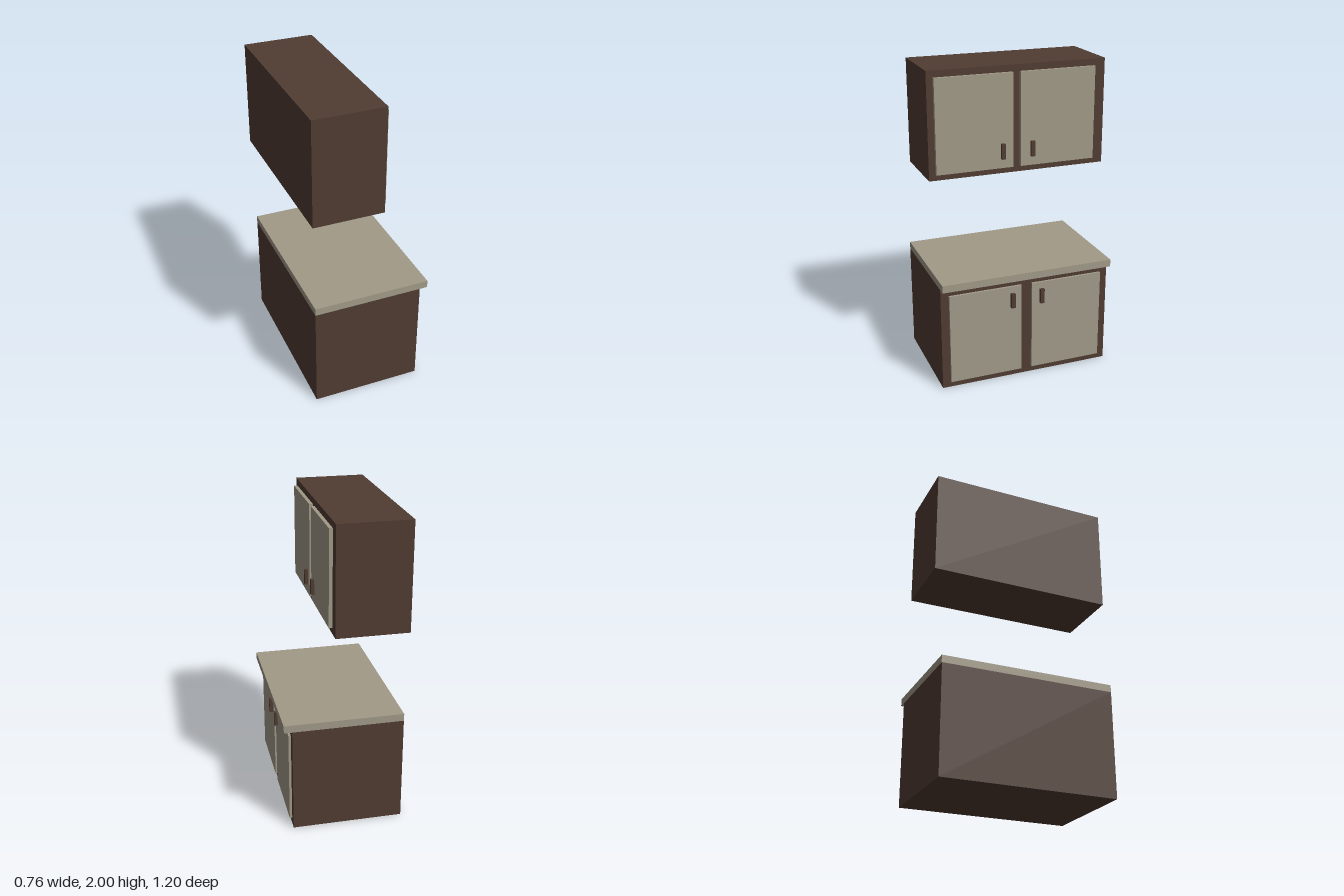
import * as THREE from 'three';

const wood = new THREE.MeshStandardMaterial({ color: 0x503c31 });
const cream = new THREE.MeshStandardMaterial({ color: 0xa19a88 });

// Box given by its [min, max] extent along each axis
function slab(name, material, [x0, x1], [y0, y1], [z0, z1]) {
  const mesh = new THREE.Mesh(new THREE.BoxGeometry(x1 - x0, y1 - y0, z1 - z0), material);
  mesh.position.set((x0 + x1) / 2, (y0 + y1) / 2, (z0 + z1) / 2);
  mesh.name = name;
  return mesh;
}

// Carcass with doors on its +x face, each door carrying a small bar handle
function cabinet(name, { x, y, z, doorDepth, doorY, handleY, doors }) {
  const group = new THREE.Group();
  group.name = name;
  group.add(slab('carcass', wood, x, y, z));
  const face = x[1];
  const front = face + doorDepth;
  for (const { side, span, handle } of doors) {
    group.add(slab(side + 'Door', cream, [face, front], doorY, span));
    group.add(slab(side + 'Handle', wood, [front, front + 0.021], handleY, [handle - 0.0135, handle + 0.0135]));
  }
  return group;
}

export function createModel() {
  const model = new THREE.Group();
  model.name = 'kitchenCabinets';

  // Wall cabinet
  model.add(cabinet('wallCabinet', {
    x: [-0.382, 0.075], y: [1.314, 2], z: [-0.6, 0.576],
    doorDepth: 0.023, doorY: [1.354, 1.957], handleY: [1.415, 1.514],
    doors: [
      { side: 'near', span: [0.03, 0.534], handle: 0.099 },
      { side: 'far', span: [-0.525, -0.021], handle: -0.099 },
    ],
  }));

  // Base cabinet
  const base = cabinet('baseCabinet', {
    x: [-0.382, 0.328], y: [0, 0.693], z: [-0.537, 0.6],
    doorDepth: 0.016, doorY: [0.041, 0.644], handleY: [0.502, 0.6],
    doors: [
      { side: 'near', span: [0.067, 0.547], handle: 0.129 },
      { side: 'far', span: [-0.486, -0.005], handle: -0.07 },
    ],
  });
  // Countertop overhanging the doors
  base.add(slab('countertop', cream, [-0.382, 0.38], [0.693, 0.741], [-0.539, 0.6]));
  model.add(base);

  return model;
}
